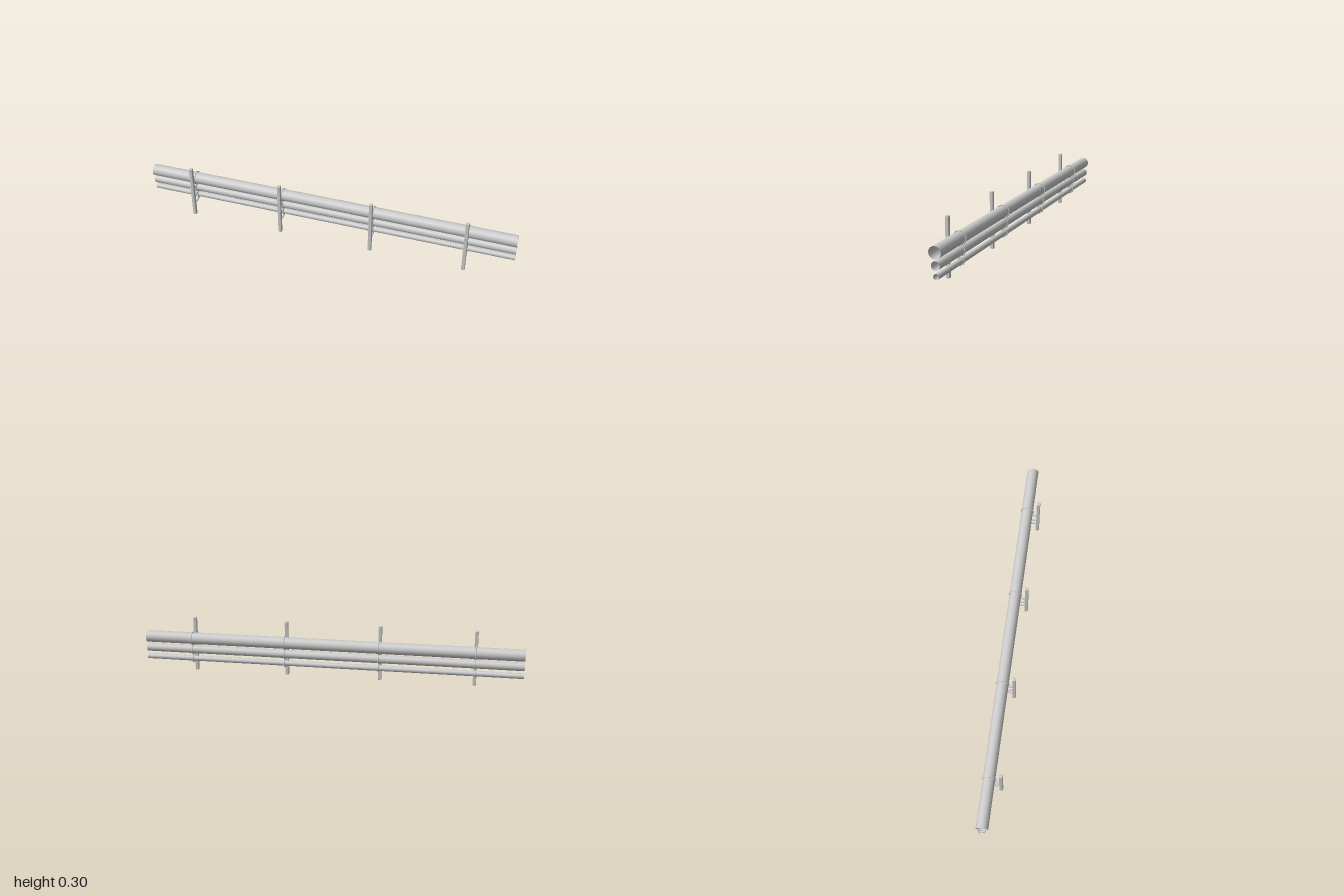
import * as THREE from 'three';
import { RoundedBoxGeometry } from 'three/addons/geometries/RoundedBoxGeometry.js';

export function createModel() {
  const model = new THREE.Group();
  const metal = new THREE.MeshStandardMaterial({ color: 0xcccccc });
  const shell = new THREE.MeshStandardMaterial({ color: 0xcccccc, side: THREE.DoubleSide });

  const add = (parent, name, geometry, material, x, y, z) => {
    const mesh = new THREE.Mesh(geometry, material);
    mesh.name = name;
    mesh.position.set(x, y, z);
    parent.add(mesh);
    return mesh;
  };

  // Pipe centre, pipe radius, and the arm under its clamp
  const pipes = [
    { name: 'large', y: 0.2015, z: -0.0155, r: 0.031, armY: 0.1635 },
    { name: 'medium', y: 0.141, z: -0.0185, r: 0.022, armY: 0.1115 },
    { name: 'small', y: 0.0905, z: -0.021, r: 0.0145, armY: 0.069 },
  ];
  const clampTube = 0.003;
  const postSize = 0.018;
  const postZ = 0.0445;
  const armFront = postZ - postSize / 2 + 0.001;

  // Open-ended pipes running the full length
  for (const p of pipes) {
    const geometry = new THREE.CylinderGeometry(p.r, p.r, 2, 16, 1, true).rotateZ(Math.PI / 2);
    add(model, p.name + 'Pipe', geometry, shell, 0, p.y, p.z);
  }

  // Four supports: a bevelled post, with an arm and a ring clamp per pipe
  for (const x of [-0.75, -0.25, 0.25, 0.75]) {
    const support = new THREE.Group();
    support.name = 'support';
    support.position.x = x;
    model.add(support);

    add(support, 'post', new RoundedBoxGeometry(postSize, 0.3, postSize, 1, 0.002), metal, 0, 0.15, postZ);

    for (const p of pipes) {
      const armBack = p.z + 0.001;
      add(support, p.name + 'Arm', new THREE.BoxGeometry(0.008, 0.0075, armFront - armBack),
        metal, 0, p.armY, (armFront + armBack) / 2);
      const ring = new THREE.TorusGeometry(p.r + clampTube, clampTube, 8, 14).rotateY(Math.PI / 2);
      add(support, p.name + 'Clamp', ring, metal, 0, p.y, p.z);
    }
  }
  return model;
}
